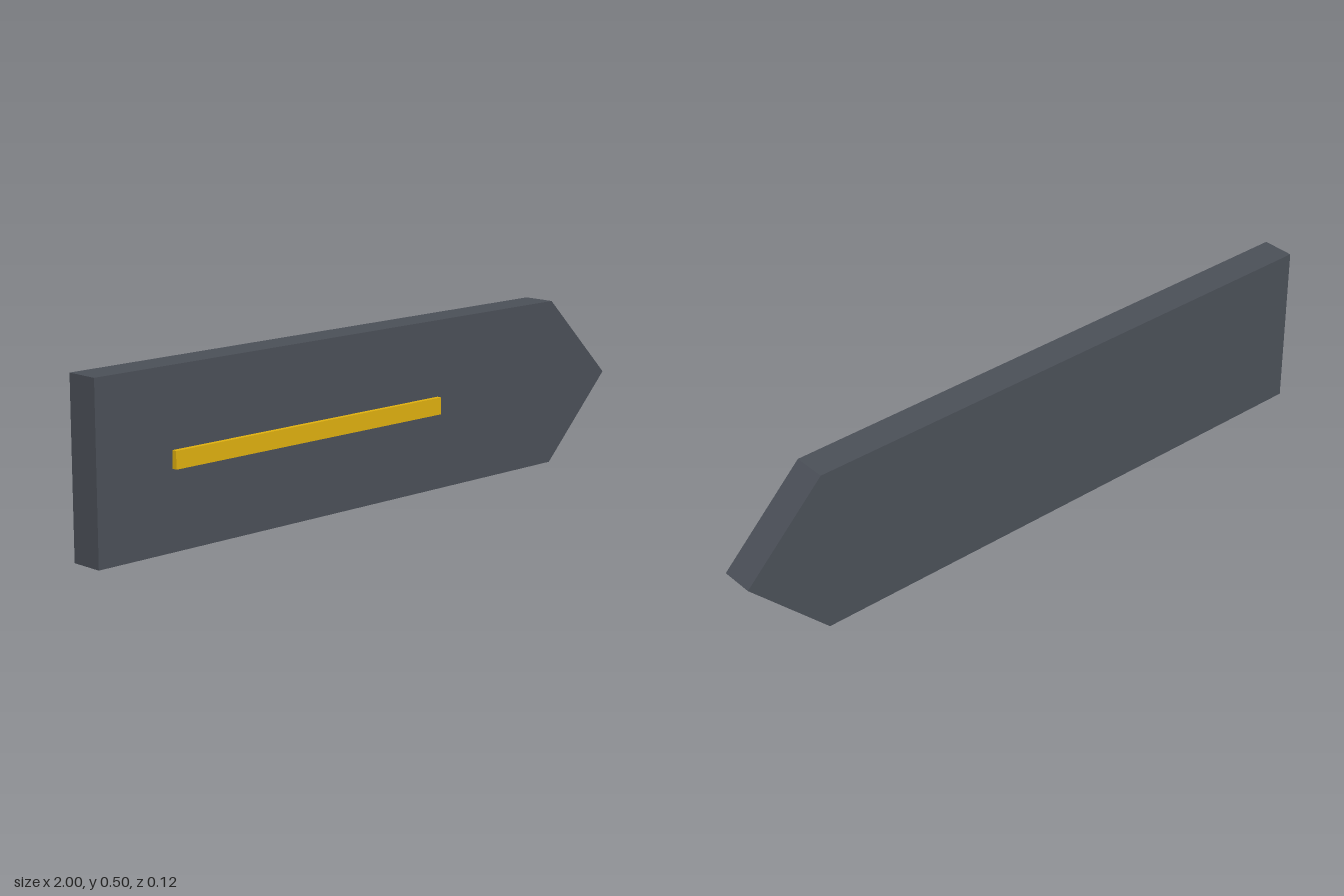
import * as THREE from 'three';

export function createModel() {
  const model = new THREE.Group();
  model.name = 'pointedSign';

  // Flat board with an arrow point at its +x end
  const outline = new THREE.Shape([
    new THREE.Vector2(-1, 0),
    new THREE.Vector2(0.75, 0),
    new THREE.Vector2(1, 0.25),
    new THREE.Vector2(0.75, 0.5),
    new THREE.Vector2(-1, 0.5),
  ]);
  const board = new THREE.Mesh(
    new THREE.ExtrudeGeometry(outline, { depth: 0.1, bevelEnabled: false }),
    new THREE.MeshStandardMaterial({ color: 0x4b5058 })
  );
  board.name = 'board';
  board.position.z = -0.0575;
  model.add(board);

  // Raised strip, slightly sunk into the front of the board
  const strip = new THREE.Mesh(
    new THREE.BoxGeometry(1, 0.05, 0.02),
    new THREE.MeshStandardMaterial({ color: 0xe0b010 })
  );
  strip.name = 'frontStrip';
  strip.position.set(-0.25, 0.25, 0.0475);
  model.add(strip);

  return model;
}
